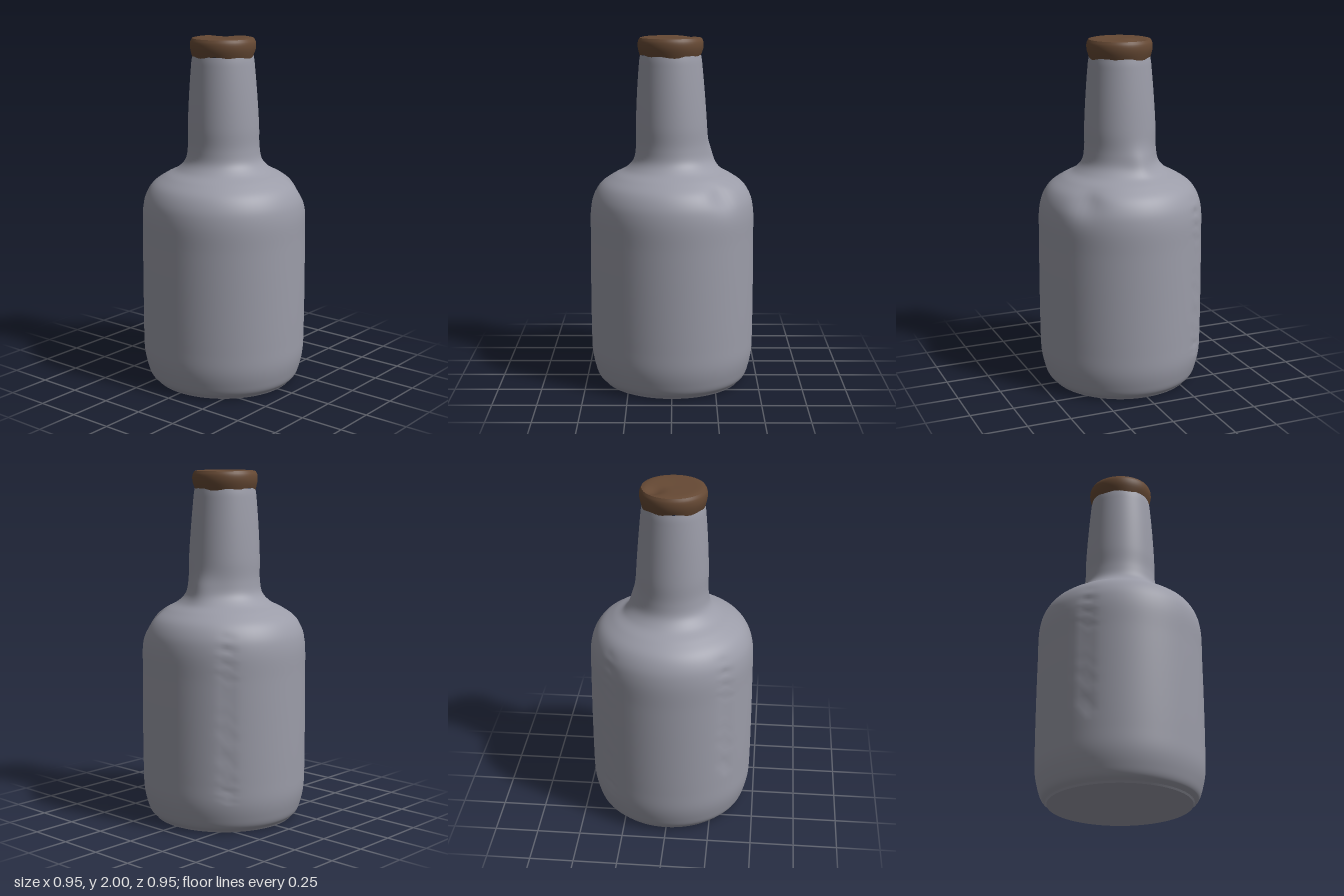
import * as THREE from 'three';

const glass = new THREE.MeshStandardMaterial({ color: 0x9b9ca8 });
glass.name = 'grey glass';
const cork = new THREE.MeshStandardMaterial({ color: 0x664934 });
cork.name = 'brown cork';

// Smooth lathe through a few [radius, height] points
function turned(points, samples, segments = 72) {
  const curve = new THREE.CatmullRomCurve3(points.map(([r, y]) => new THREE.Vector3(r, y, 0)), false, 'centripetal');
  const profile = curve.getPoints(samples).map((p) => new THREE.Vector2(Math.max(p.x, 0), p.y));
  return new THREE.LatheGeometry(profile, segments);
}

// Moves every vertex by a rule
function reshape(geometry, rule) {
  const pos = geometry.attributes.position;
  const v = new THREE.Vector3();
  for (let i = 0; i < pos.count; i++) {
    rule(v.fromBufferAttribute(pos, i));
    pos.setXYZ(i, v.x, v.y, v.z);
  }
  return geometry;
}

function add(group, name, geometry, material) {
  const mesh = new THREE.Mesh(geometry, material);
  mesh.name = name;
  group.add(mesh);
  return mesh;
}

const bump = (d, width) => Math.exp(-(d * d) / (width * width));

// Shallow pitted seam running up the wall at one angle
function seam(v, x, z, low, high) {
  if (v.y < low || v.y > high) return 0;
  const d = Math.hypot(v.x - x, v.z - z);
  return 0.012 * bump(d, 0.03) * (0.6 + 0.4 * Math.sin(v.y * 80));
}

export function createModel() {
  const bottle = new THREE.Group();
  bottle.name = 'bottle';

  // Body, shoulder and neck in one turned wall
  const wall = turned([
    [0.405, 0.008], [0.432, 0.035], [0.452, 0.09], [0.468, 0.17], [0.472, 0.3],
    [0.473, 0.6], [0.471, 0.85], [0.468, 1.02], [0.45, 1.1], [0.41, 1.165],
    [0.34, 1.215], [0.265, 1.255], [0.22, 1.305], [0.205, 1.38], [0.203, 1.5],
    [0.193, 1.68], [0.181, 1.83], [0.177, 1.87], [0.172, 1.9],
  ], 110);
  reshape(wall, (v) => {
    // Dent in the front shoulder and the two seams at the back
    const dent = 0.035 * bump(v.distanceTo(new THREE.Vector3(0.28, 1.15, 0.31)), 0.08);
    const inward = 1 - (dent + seam(v, 0.335, -0.335, 0.2, 1.15) + seam(v, -0.335, -0.335, 0.4, 1.15)) / 0.47;
    v.x *= inward;
    v.z *= inward;
    // Flared patch at the foot of the neck
    v.x += 0.025 * bump(v.distanceTo(new THREE.Vector3(0.21, 1.32, -0.04)), 0.09);
    // The neck leans very slightly
    v.x -= 0.008 * THREE.MathUtils.smoothstep(v.y, 1.2, 1.9);
  });
  wall.computeVertexNormals();
  // Average the normals where the lathe closes on itself
  const normals = wall.attributes.normal;
  const rows = wall.parameters.points.length;
  for (let j = 0; j < rows; j++) {
    const k = normals.count - rows + j;
    const n = new THREE.Vector3().fromBufferAttribute(normals, j)
      .add(new THREE.Vector3().fromBufferAttribute(normals, k)).normalize();
    normals.setXYZ(j, n.x, n.y, n.z);
    normals.setXYZ(k, n.x, n.y, n.z);
  }
  add(bottle, 'bottleWall', wall, glass);

  // Flat foot
  const foot = add(bottle, 'bottleBase', new THREE.CylinderGeometry(0.407, 0.4, 0.01, 72), glass);
  foot.position.y = 0.005;

  // Stopper with an uneven lower edge
  const side = turned([[0.168, 1.885], [0.174, 1.9], [0.185, 1.94], [0.184, 1.975], [0.174, 1.995]], 12, 48);
  reshape(side, (v) => {
    const a = Math.atan2(v.z, v.x);
    const edge = THREE.MathUtils.clamp((1.93 - v.y) / 0.045, 0, 1);
    v.y += edge * 0.009 * (Math.sin(a * 3) + Math.sin(a * 7 + 1));
  });
  add(bottle, 'stopperSide', side, cork).position.x = -0.008;
  const top = turned([[0.174, 1.995], [0.15, 2], [0.08, 2], [0, 1.998]], 12, 48);
  // Chipped patch on the rim
  reshape(top, (v) => { v.y -= 0.02 * bump(Math.hypot(v.x - 0.1, v.z + 0.07), 0.05); });
  top.computeVertexNormals();
  add(bottle, 'stopperTop', top, cork).position.x = -0.008;

  return bottle;
}
